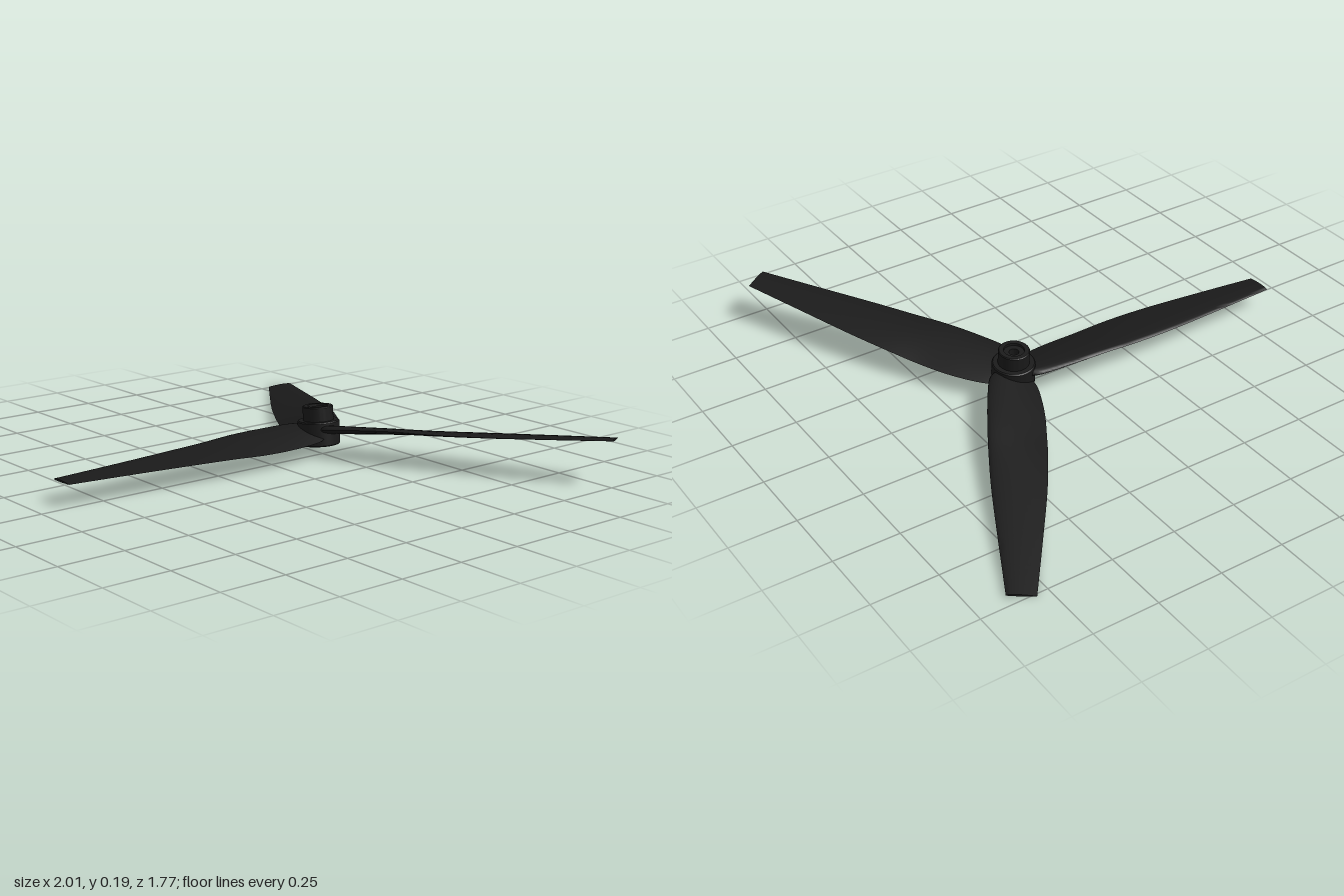
import * as THREE from 'three';
import { toCreasedNormals } from 'three/addons/utils/BufferGeometryUtils.js';

const material = new THREE.MeshStandardMaterial({ color: 0x1a1a1a });

// Blade stations: radius, leading edge, trailing edge, pitch (degrees), thickness
const stations = [
  [0.02, -0.06, 0.06, 13, 0.034],
  [0.07, -0.09, 0.087, 14, 0.032],
  [0.2, -0.102, 0.103, 14, 0.026],
  [0.34, -0.107, 0.103, 13, 0.022],
  [0.48, -0.108, 0.098, 9, 0.019],
  [0.65, -0.105, 0.084, 6.5, 0.016],
  [0.88, -0.093, 0.055, 5, 0.012],
  [1.135, -0.078, 0.021, 4, 0.008],
];

// Lofts an airfoil section along +z; leading edge faces -x and is raised
function bladeGeometry(rings = 42, sides = 24) {
  const outline = new THREE.CatmullRomCurve3(
    stations.map(([r, lead, trail]) => new THREE.Vector3(r, lead, trail)), false, 'catmullrom');
  const form = new THREE.CatmullRomCurve3(
    stations.map(([, , , pitch, thick]) => new THREE.Vector3(pitch, thick, 0)), false, 'catmullrom');
  const positions = [];
  const index = [];

  for (let i = 0; i <= rings; i++) {
    const { x: r, y: lead, z: trail } = outline.getPoint(i / rings);
    const { x: pitch, y: thick } = form.getPoint(i / rings);
    const slope = Math.tan(THREE.MathUtils.degToRad(pitch));
    for (let j = 0; j < sides; j++) {
      const a = (j / sides) * Math.PI * 2;
      const u = (1 - Math.cos(a)) / 2; // 0 at leading edge, 1 at trailing edge
      const bulge = 2.6 * Math.sqrt(u) * (1 - u);
      const y = a < Math.PI ? -0.35 * thick * bulge : 0.65 * thick * bulge;
      const x = THREE.MathUtils.lerp(lead, trail, u);
      positions.push(x, y - (x - (lead + trail) / 2) * slope, r);
    }
  }
  for (let i = 0; i < rings; i++) {
    for (let j = 0; j < sides; j++) {
      const k = (j + 1) % sides;
      const a = i * sides + j, b = i * sides + k;
      index.push(a, b, b + sides, a, b + sides, a + sides);
    }
  }
  // Flat tip cap
  const tip = rings * sides;
  for (let j = 1; j < sides - 1; j++) index.push(tip, tip + j, tip + j + 1);

  const geometry = new THREE.BufferGeometry();
  geometry.setAttribute('position', new THREE.Float32BufferAttribute(positions, 3));
  geometry.setIndex(index);
  return toCreasedNormals(geometry, 0.7);
}

// Stepped hub with a through bore and shallow recesses at both ends
function hubGeometry() {
  const profile = [
    [0.018, -0.038], [0.04, -0.038], [0.04, -0.048], [0.076, -0.048], [0.08, -0.044],
    [0.08, 0.041], [0.076, 0.045], [0.058, 0.045], [0.058, 0.097], [0.055, 0.1],
    [0.038, 0.1], [0.038, 0.09], [0.018, 0.09], [0.018, -0.038],
  ].map(([x, y]) => new THREE.Vector2(x, y));
  return toCreasedNormals(new THREE.LatheGeometry(profile, 48), 0.5);
}

export function createModel() {
  const model = new THREE.Group();
  model.name = 'propeller';

  // Whole rotor leans slightly to one side
  const rotor = new THREE.Group();
  rotor.name = 'rotor';
  rotor.position.set(-0.021, 0.091, -0.248);
  rotor.rotation.z = 0.082;
  model.add(rotor);

  const hub = new THREE.Mesh(hubGeometry(), material);
  hub.name = 'hub';
  rotor.add(hub);

  const geometry = bladeGeometry();
  for (let i = 0; i < 3; i++) {
    const blade = new THREE.Mesh(geometry, material);
    blade.name = `blade${i + 1}`;
    blade.rotation.y = (i * Math.PI * 2) / 3;
    rotor.add(blade);
  }
  return model;
}
